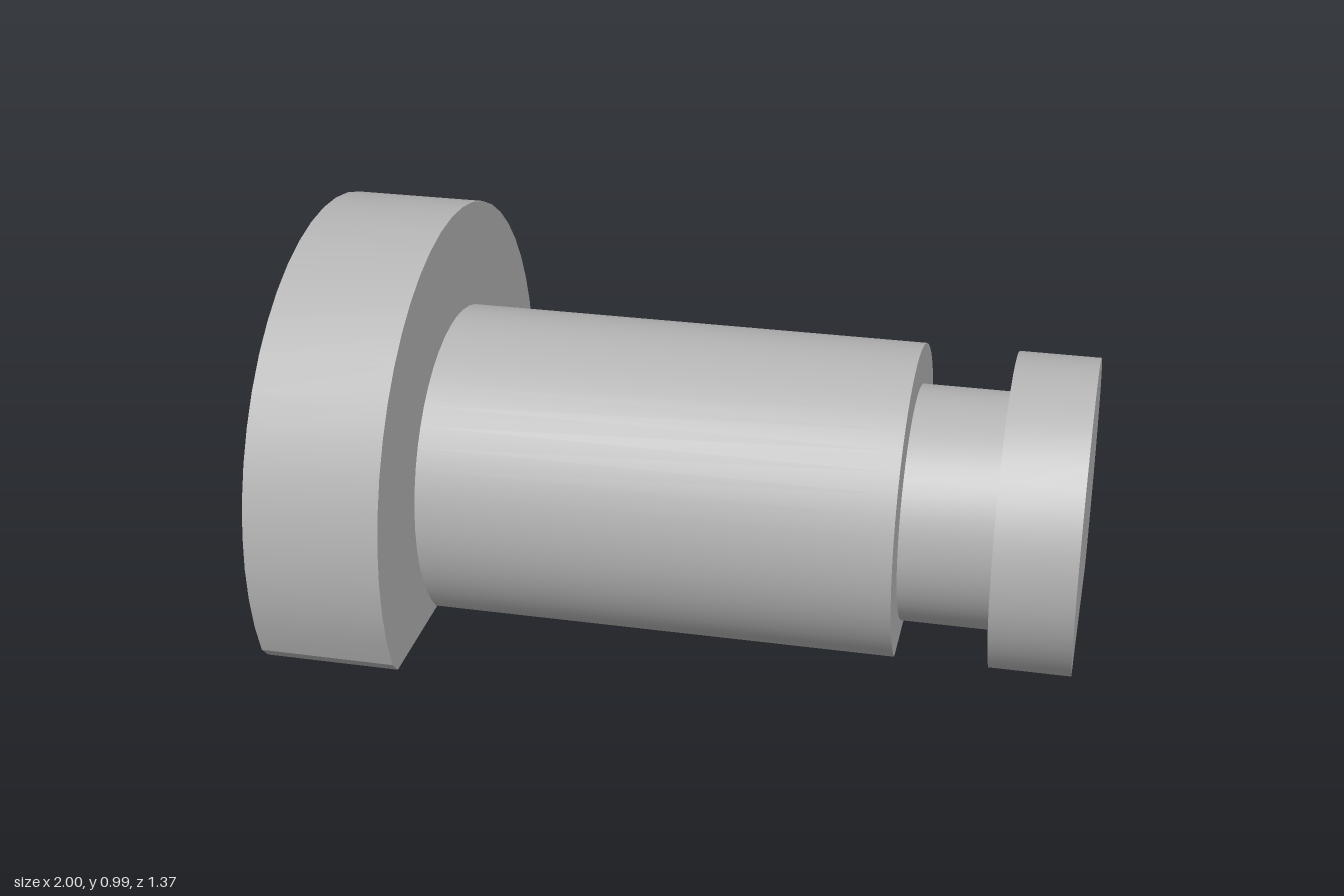
import * as THREE from 'three';
import { toCreasedNormals } from 'three/addons/utils/BufferGeometryUtils.js';

const AXIS_Y = 0.298;
const STEP = Math.PI / 24;

export function createModel() {
  const metal = new THREE.MeshStandardMaterial({ color: 0xb4b4b4 });
  metal.name = 'grey metal';
  const model = new THREE.Group();
  model.name = 'flatBottomedPin';

  // Round section cut flat at y = 0; the arc stops `drop` steps below the axis
  function addSection(name, x0, x1, radius, drop, flatHalf) {
    const points = [];
    for (let i = -drop; i <= 24 + drop; i++) {
      points.push(new THREE.Vector2(Math.cos(i * STEP) * radius, AXIS_Y + Math.sin(i * STEP) * radius));
    }
    points.push(new THREE.Vector2(-flatHalf, 0), new THREE.Vector2(flatHalf, 0));
    const solid = new THREE.ExtrudeGeometry(new THREE.Shape(points), { depth: x1 - x0, bevelEnabled: false });
    solid.rotateY(Math.PI / 2).translate(x0, 0, 0);
    const mesh = new THREE.Mesh(toCreasedNormals(solid, 0.25), metal);
    mesh.name = name;
    model.add(mesh);
  }

  addSection('head', -1, -0.655, 0.687, 3, 0.6);
  addSection('shaft', -0.655, 0.555, 0.412, 6, 0.27);
  addSection('grooveNeck', 0.555, 0.793, 0.307, 10, 0.07);
  addSection('endCollar', 0.793, 1, 0.412, 6, 0.27);
  return model;
}
